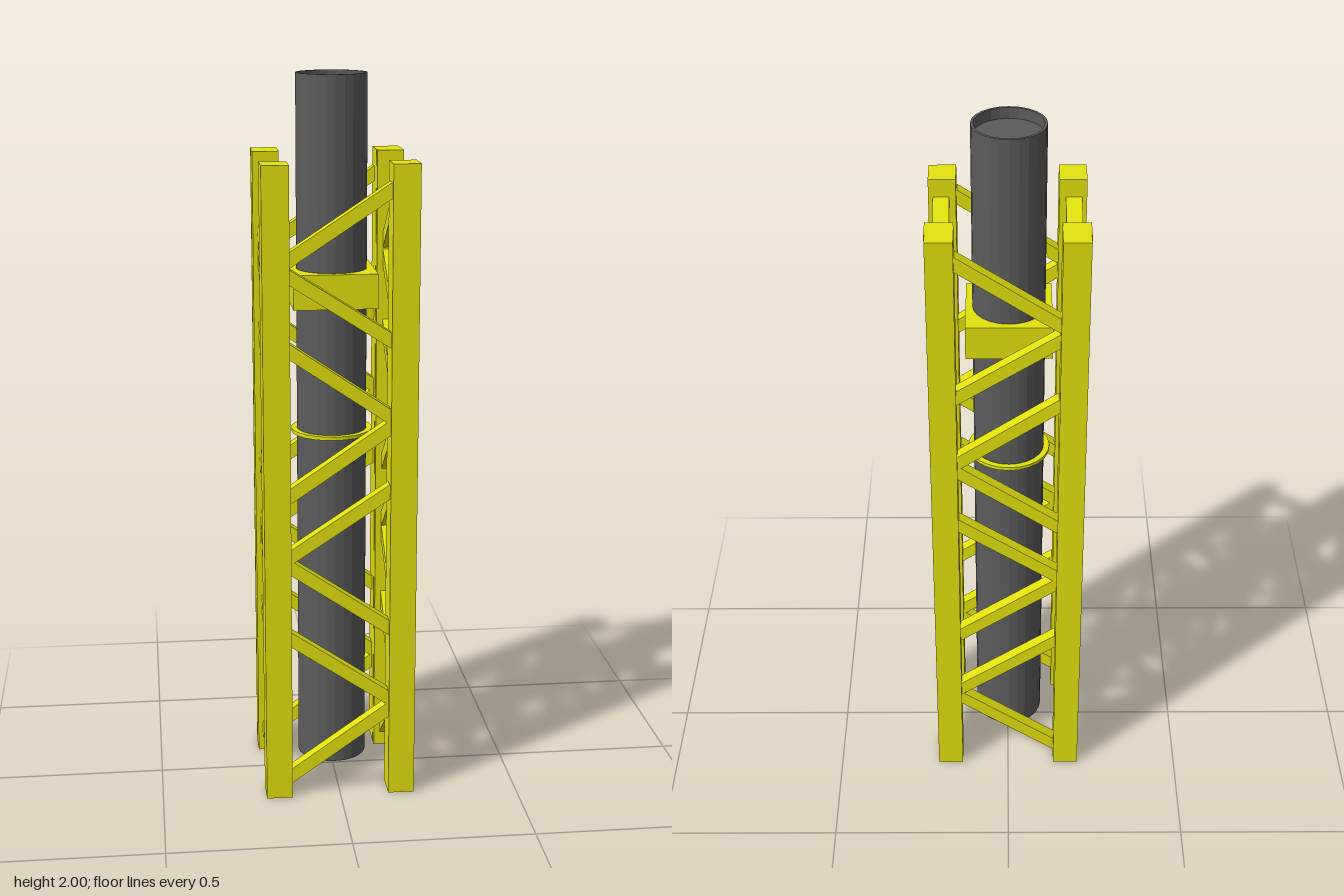
import * as THREE from 'three';

export function createModel() {
  const group = new THREE.Group();
  const yellow = new THREE.MeshStandardMaterial({ color: 0xe2e20f, flatShading: true });
  const dark = new THREE.MeshStandardMaterial({ color: 0x5c5c5c, side: THREE.DoubleSide, flatShading: true });

  function add(name, geometry, material, x = 0, y = 0, z = 0) {
    const mesh = new THREE.Mesh(geometry, material);
    mesh.name = name;
    mesh.position.set(x, y, z);
    group.add(mesh);
    return mesh;
  }
  // Box given by its lower and upper corners
  function box(name, a, b) {
    return add(name, new THREE.BoxGeometry(b[0] - a[0], b[1] - a[1], b[2] - a[2]), yellow,
      (a[0] + b[0]) / 2, (a[1] + b[1]) / 2, (a[2] + b[2]) / 2);
  }

  // Corner posts; each back post is a pair of overlapping beams
  const H = 1.78;
  for (const s of [-1, 1]) {
    const post = (name, x0, x1, z0, z1) =>
      box(name, [Math.min(s * x0, s * x1), 0, z0], [Math.max(s * x0, s * x1), H, z1]);
    post('frontPost', 0.136, 0.209, 0.126, 0.213);
    post('backPostOuter', 0.136, 0.208, -0.215, -0.128);
    post('backPostInner', 0.137, 0.21, -0.175, -0.11);
  }

  // Diagonal braces: [height at the -x (or back) end, height at the +x (or front) end]
  const zigzag = [
    [0.06, 0.25], [0.47, 0.285], [0.68, 0.495], [0.71, 0.89],
    [0.885, 1.07], [1.285, 1.1], [1.485, 1.31], [1.53, 1.71],
  ];
  const up = new THREE.Vector3(0, 1, 0);
  function brace(name, a, b, depth, sideways) {
    const dir = b.clone().sub(a);
    const mesh = add(name, new THREE.BoxGeometry(dir.length() + 0.02, 0.036, depth), yellow);
    mesh.position.copy(a).add(b).multiplyScalar(0.5);
    dir.normalize();
    const across = sideways ? new THREE.Vector3(-1, 0, 0) : new THREE.Vector3(0, 0, 1);
    const upward = new THREE.Vector3().crossVectors(across, dir);
    if (upward.dot(up) < 0) { upward.negate(); across.negate(); }
    mesh.quaternion.setFromRotationMatrix(new THREE.Matrix4().makeBasis(dir, upward, across));
  }
  for (const [y0, y1] of zigzag) {
    for (const s of [-1, 1]) {
      brace(s > 0 ? 'frontBrace' : 'backBrace',
        new THREE.Vector3(-0.136, y0, s * 0.182), new THREE.Vector3(0.136, y1, s * 0.182), 0.036, false);
      brace(s > 0 ? 'leftBrace' : 'rightBrace',
        new THREE.Vector3(s * 0.175, y0, -0.113), new THREE.Vector3(s * 0.175, y1, 0.127), 0.043, true);
    }
  }

  // Central pipe with a closed foot and a recessed floor inside the rim
  const profile = [[0, 0.05], [0.097, 0.05], [0.097, 2], [0.09, 2], [0.09, 1.97], [0, 1.97]];
  add('pipe', new THREE.LatheGeometry(profile.map(([r, y]) => new THREE.Vector2(r, y)), 24), dark, -0.003, 0, 0);

  // Square collar and thin ring around the pipe
  box('collar', [-0.118, 1.38, -0.115], [0.112, 1.475, 0.114]);
  add('ring', new THREE.CylinderGeometry(0.113, 0.113, 0.01, 24), yellow, -0.003, 1.02, 0);

  return group;
}
